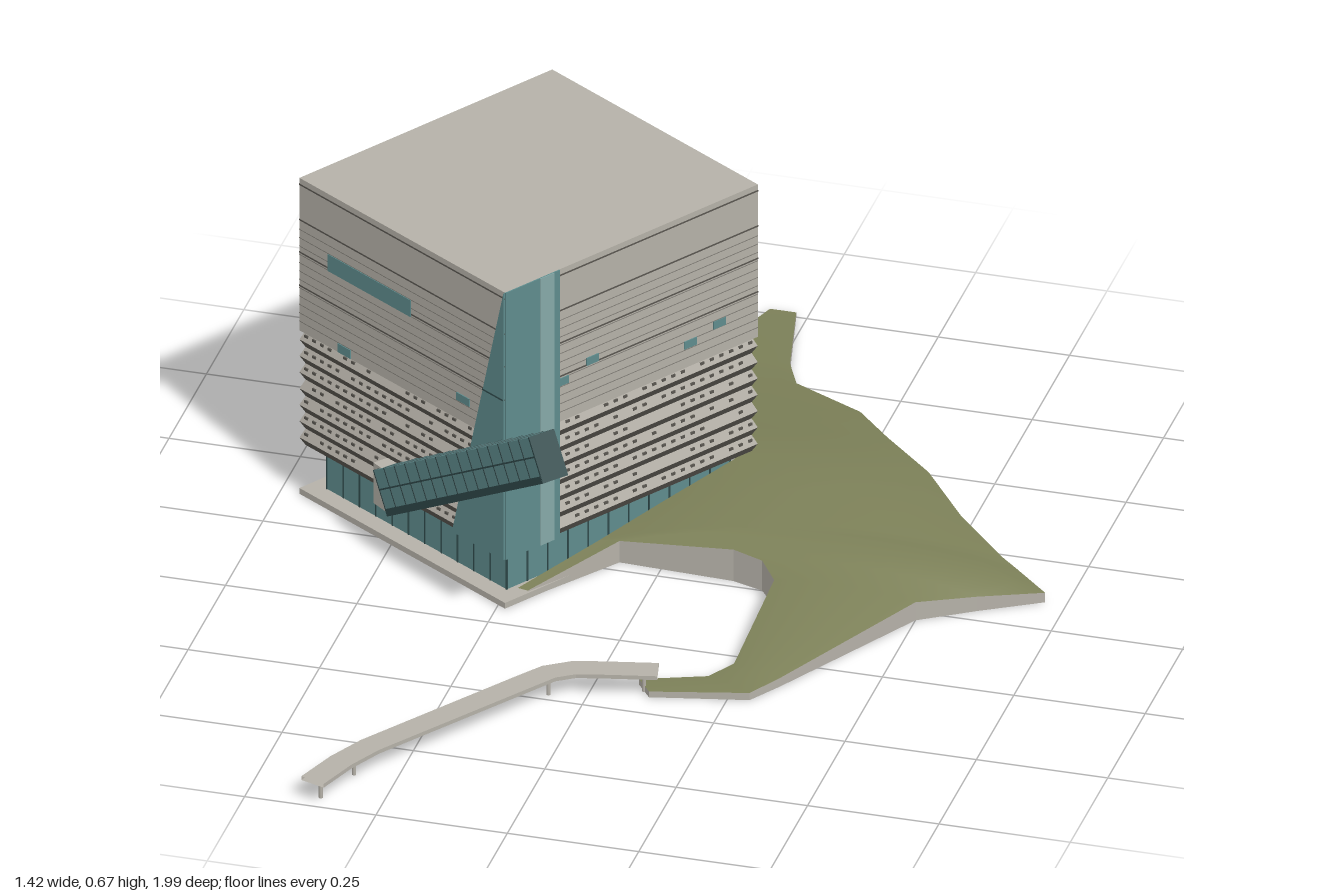
import * as THREE from 'three';
import { mergeGeometries } from 'three/addons/utils/BufferGeometryUtils.js';

const mat = (color, extra = {}) => new THREE.MeshStandardMaterial({ color, ...extra });
const stone = mat(0xb5b1a8);
const dark = mat(0x5a5751);
const seam = mat(0x7d7a73);
const glass = mat(0x5f8c8d);
const paleGlass = mat(0x86a9a8);
const frame = mat(0x2f4a4b);
const grass = mat(0x7c8058, { side: THREE.DoubleSide });
const edge = mat(0xb5b1a8, { side: THREE.DoubleSide, flatShading: true });

const W = 0.571, D = 0.615;          // hall footprint
const LOW = 0.105, MID = 0.345, TOP = 0.665;

function add(parent, name, geo, material) {
  const m = new THREE.Mesh(geo, material);
  m.name = name;
  parent.add(m);
  return m;
}
const box = (w, h, d, x = 0, y = 0, z = 0) => new THREE.BoxGeometry(w, h, d).translate(x, y, z);

// box whose bottom and top are inset by different amounts
function frustum(y0, y1, insetLow, insetHigh) {
  const g = new THREE.BoxGeometry(1, 1, 1), p = g.attributes.position;
  for (let i = 0; i < p.count; i++) {
    const up = p.getY(i) > 0, inset = 2 * (up ? insetHigh : insetLow);
    p.setXYZ(i, p.getX(i) * (W - inset), up ? y1 : y0, p.getZ(i) * (D - inset));
  }
  g.computeVertexNormals();
  return g;
}
// block on wall k (0 front, 1 right, 2 back, 3 left), centred at a along it
function onWall(k, a, y, w, h, d, out = 0) {
  const dist = (k % 2 ? W : D) / 2 + out;
  return box(w, h, d, a, y, dist).rotateY(k * Math.PI / 2);
}

function buildHall() {
  const hall = new THREE.Group();
  hall.name = 'hall';
  hall.position.set(-0.306, 0, -0.216);
  hall.rotation.y = -0.574;

  // plinth and glazed ground floor
  add(hall, 'plinth', box(W, 0.012, D, 0, 0.008, 0), stone);
  const inset = 0.036;
  add(hall, 'groundFloorGlass', box(W - 2 * inset, LOW + 0.005, D - 2 * inset, 0, (LOW + 0.005) / 2, 0), glass);
  const mullions = [];
  for (let k = 0; k < 4; k++) {
    const len = (k % 2 ? D : W) - 2 * inset;
    for (let i = 0; i <= 11; i++)
      mullions.push(onWall(k, (i / 11 - 0.5) * len, 0.059, 0.003, 0.09, 0.003, -inset));
  }
  add(hall, 'groundFloorMullions', mergeGeometries(mullions), frame);

  // upper block with fine horizontal seams
  add(hall, 'upperBlock', box(W, TOP - MID, D, 0, (TOP + MID) / 2, 0), stone);
  const seams = [];
  for (let y = 0.365; y < 0.56; y += 0.0175) seams.push(box(W + 0.001, 0.0014, D + 0.001, 0, y, 0));
  add(hall, 'fineSeams', mergeGeometries(seams), seam);
  add(hall, 'mainSeams', mergeGeometries([0.44, 0.51, 0.578, 0.652].map(
    y => box(W + 0.0015, 0.003, D + 0.0015, 0, y, 0))), dark);

  // pleated lower cladding with small perforations
  const light = [], shade = [], holes = [];
  let seed = 7;
  const rnd = () => (seed = (seed * 16807) % 2147483647) / 2147483647;
  const rows = 7, pitch = (MID - LOW) / rows, depth = 0.008;
  for (let r = 0; r < rows; r++) {
    const y = LOW + r * pitch, yMid = y + pitch * 0.45;
    shade.push(frustum(y, yMid, depth, 0));
    light.push(frustum(yMid, y + pitch, 0, depth));
    for (let k = 0; k < 4; k++) {
      const len = (k % 2 ? D : W) - 0.03;
      for (let i = 0; i < 26; i++)
        if (rnd() < 0.75)
          holes.push(onWall(k, (i / 25 - 0.5) * len, y + pitch * 0.75, 0.009, 0.005, 0.004, -0.0045));
    }
  }
  add(hall, 'pleatUndersides', mergeGeometries(shade), dark);
  add(hall, 'pleatFaces', mergeGeometries(light), stone);
  add(hall, 'perforations', mergeGeometries(holes), dark);

  // scattered windows: wall, position along, height, width, tall
  const windows = [
    [0, -0.09, 0.522, 0.23, 0.035], [0, 0.17, 0.393, 0.036, 0.016], [0, -0.16, 0.355, 0.036, 0.018],
    [1, -0.167, 0.428, 0.026, 0.016], [1, -0.095, 0.447, 0.03, 0.016],
    [1, 0.143, 0.393, 0.03, 0.016], [1, 0.214, 0.409, 0.03, 0.016],
    [2, 0.175, 0.465, 0.04, 0.016], [2, -0.262, 0.357, 0.04, 0.016],
    [3, -0.243, 0.44, 0.036, 0.016], [3, -0.152, 0.44, 0.036, 0.016], [3, 0.243, 0.465, 0.04, 0.018],
  ];
  add(hall, 'windows', mergeGeometries(windows.map(([k, a, y, w, h]) => onWall(k, a, y, w, h, 0.004))), glass);

  // glazed corner: tapering sheet in front, tall strip around the side
  const tri = new THREE.Shape([[W / 2, LOW], [W / 2, TOP], [W / 2 - 0.143, LOW]].map(p => new THREE.Vector2(...p)));
  add(hall, 'cornerGlassFront',
    new THREE.ExtrudeGeometry(tri, { depth: 0.004, bevelEnabled: false }).translate(0, 0, D / 2), glass);
  const h = TOP - LOW, yc = (TOP + LOW) / 2;
  add(hall, 'cornerGlassSide', onWall(1, -D / 2 + 0.066, yc, 0.132, h, 0.005), glass);
  add(hall, 'cornerGlassFin', onWall(1, -D / 2 + 0.1, yc, 0.034, h, 0.008), paleGlass);
  add(hall, 'cornerGlassLine', onWall(0, W / 2 - 0.029, 0.44, 0.057, 0.003, 0.01), frame);
  return hall;
}

// sloping glazed stair tube
function buildStairTube() {
  const tube = new THREE.Group();
  tube.name = 'stairTube';
  const a = new THREE.Vector3(-0.49, 0.132, 0.045), b = new THREE.Vector3(-0.105, 0.43, 0.36);
  const L = a.distanceTo(b), w = 0.054, h = 0.086;
  const body = new THREE.Group();
  body.name = 'tubeBody';
  body.position.copy(a).add(b).multiplyScalar(0.5);
  body.lookAt(b);
  tube.add(body);
  add(body, 'tubeGlass', box(w, h, L), glass);
  add(body, 'tubeFloor', box(w + 0.003, 0.014, L + 0.002, 0, -h / 2 + 0.005, 0), frame);
  add(body, 'tubeEnd', box(w + 0.002, h + 0.002, 0.004, 0, 0, L / 2), frame);
  const bars = [box(w + 0.002, 0.003, L, 0, 0.006, 0)];
  for (let i = 0; i <= 15; i++) bars.push(box(w + 0.002, h + 0.002, 0.003, 0, 0, (i / 15 - 0.5) * L));
  add(body, 'tubeBars', mergeGeometries(bars), frame);
  const foot = add(tube, 'tubeFoot', box(0.034, 0.085, 0.05), stone);
  foot.position.set(-0.5, 0.132, 0.036);
  foot.rotation.y = Math.atan2(b.x - a.x, b.z - a.z);
  return tube;
}

// surface through rows of points
function loft(rows) {
  const pos = rows.flat(2), n = rows[0].length, idx = [];
  for (let i = 0; i < rows.length - 1; i++)
    for (let j = 0; j < n - 1; j++) {
      const p = i * n + j;
      idx.push(p, p + 1, p + n, p + 1, p + n + 1, p + n);
    }
  const g = new THREE.BufferGeometry();
  g.setAttribute('position', new THREE.Float32BufferAttribute(pos, 3));
  g.setIndex(idx);
  g.computeVertexNormals();
  return g;
}

// green hill: inner edge x z y, outer edge x z y, bulge between
function buildHill() {
  const hill = new THREE.Group();
  hill.name = 'hill';
  const ribs = [
    [0.08, 0.40, 0.012, 0.11, 0.44, 0.012, 0], [0.20, 0.36, 0.015, 0.29, 0.40, 0.015, 0.002],
    [0.235, 0.31, 0.02, 0.33, 0.335, 0.018, 0.004], [0.237, 0.05, 0.055, 0.50, 0.03, 0.038, 0.012],
    [0.20, 0.0, 0.063, 0.60, -0.035, 0.03, 0.022], [0.14, -0.02, 0.066, 0.71, -0.1, 0.02, 0.036],
    [-0.08, -0.03, 0.045, 0.64, -0.16, 0.026, 0.048], [-0.117, -0.03, 0.042, 0.60, -0.19, 0.032, 0.048],
    [-0.03, -0.17, 0.065, 0.50, -0.28, 0.05, 0.034], [0.06, -0.31, 0.088, 0.40, -0.41, 0.058, 0.015],
    [-0.10, -0.413, 0.075, 0.29, -0.52, 0.055, 0.008], [-0.27, -0.53, 0.04, 0.21, -0.62, 0.042, 0.006],
    [-0.20, -0.71, 0.025, 0.06, -0.72, 0.025, 0.004], [-0.13, -0.80, 0.016, 0.025, -0.80, 0.018, 0],
    [-0.07, -1.0, 0.01, -0.02, -1.0, 0.01, 0],
  ];
  const N = 10, mix = THREE.MathUtils.lerp;
  const rows = ribs.map(([x0, z0, y0, x1, z1, y1, bulge]) => Array.from({ length: N + 1 }, (_, j) => {
    const t = j / N;
    return [mix(x0, x1, t), mix(y0, y1, t) + bulge * 4 * t * (1 - t), mix(z0, z1, t)];
  }));
  add(hill, 'hillTop', loft(rows), grass);
  // narrow tongue along the glazed wall
  const tongue = [[-0.08, 0.045, -0.03], [-0.205, 0.016, 0.145]];
  add(hill, 'hillTongue', loft([tongue, [[-0.117, 0.042, -0.03], [-0.225, 0.016, 0.14]]]), grass);
  // skirts down to the ground
  const skirt = pts => loft(pts.map(p => [p, [p[0], 0, p[2]]]));
  const inner = rows.map(r => r[0]), outer = rows.map(r => r[N]);
  add(hill, 'hillSkirt', mergeGeometries([inner.slice(0, 7), inner.slice(11), outer,
    rows[0], rows[rows.length - 1], tongue].map(skirt)), edge);
  return hill;
}

// raised footbridge
function buildBridge() {
  const bridge = new THREE.Group();
  bridge.name = 'footbridge';
  const pts = [[0.12, 0.415], [0.02, 0.437], [-0.03, 0.45], [-0.07, 0.477], [-0.10, 0.52],
    [-0.31, 0.83], [-0.345, 0.9], [-0.375, 0.985]].map(([x, z]) => new THREE.Vector2(x, z));
  const hw = 0.025, y0 = 0.038, y1 = 0.046;
  const rows = pts.map((p, i) => {
    const d = pts[Math.min(i + 1, pts.length - 1)].clone().sub(pts[Math.max(i - 1, 0)]).normalize();
    const at = (s, y) => [p.x - d.y * s, y, p.y + d.x * s];
    return [at(-hw, y0), at(-hw, y1), at(hw, y1), at(hw, y0), at(-hw, y0)];
  });
  add(bridge, 'bridgeDeck', loft(rows), edge);
  const posts = [[-0.365, 0.965], [-0.33, 0.865], [-0.07, 0.48], [0.095, 0.42]];
  add(bridge, 'bridgePosts', mergeGeometries(posts.map(
    ([x, z]) => new THREE.CylinderGeometry(0.004, 0.004, 0.04, 8).translate(x, 0.02, z))), stone);
  return bridge;
}

export function createModel() {
  const model = new THREE.Group();
  model.name = 'museum';
  model.add(buildHall(), buildStairTube(), buildHill(), buildBridge());
  return model;
}
